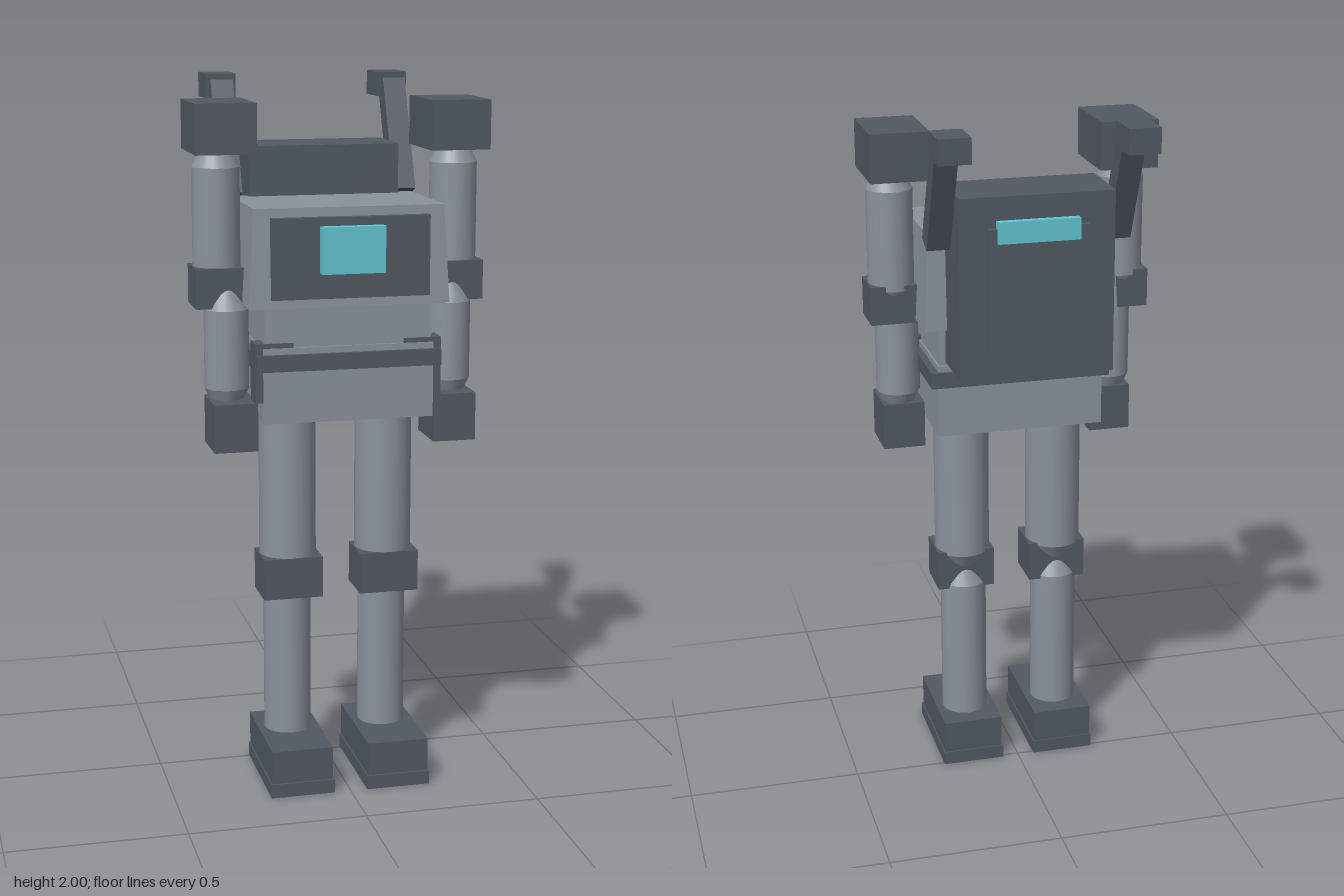
import * as THREE from 'three';

export function createModel() {
  const model = new THREE.Group();
  const mat = (name, color) => {
    const m = new THREE.MeshStandardMaterial({ color });
    m.name = name;
    return m;
  };
  const grey = mat('light grey', 0x8b929d);
  const dark = mat('dark slate', 0x525964);
  const cyan = mat('cyan glow', 0x60c6d0);

  const add = (name, geometry, material, parent = model) => {
    const mesh = new THREE.Mesh(geometry, material);
    mesh.name = name;
    parent.add(mesh);
    return mesh;
  };
  // Box given by its [min, max] on each axis
  const box = (name, material, x, y, z, parent) => {
    const g = new THREE.BoxGeometry(x[1] - x[0], y[1] - y[0], z[1] - z[0]);
    g.translate((x[0] + x[1]) / 2, (y[0] + y[1]) / 2, (z[0] + z[1]) / 2);
    return add(name, g, material, parent);
  };
  // Limb: a round bar whose two ends narrow into the joints
  const limb = (name, r, x, z, y0, y1, parent) => {
    const group = new THREE.Group();
    group.name = name;
    group.position.set(x, 0, z);
    const t = 0.055;
    const piece = (part, rTop, rBottom, a, b) =>
      add(part, new THREE.CylinderGeometry(rTop, rBottom, b - a, 24), grey, group).position.y = (a + b) / 2;
    piece('bar', r, r, y0 + t, y1 - t);
    piece('upperTaper', r * 0.6, r, y1 - t, y1);
    piece('lowerTaper', r, r * 0.6, y0, y0 + t);
    parent.add(group);
  };

  // Trunk
  box('pelvis', grey, [-0.24, 0.24], [1.08, 1.29], [-0.037, 0.286]);
  box('belt', dark, [-0.26, 0.26], [1.226, 1.272], [-0.045, 0.297]);
  box('abdomen', grey, [-0.235, 0.235], [1.28, 1.41], [-0.032, 0.28]);

  // Chest narrows a little towards the top
  const chest = new THREE.BoxGeometry(0.56, 0.27, 0.356);
  const p = chest.attributes.position;
  for (let i = 0; i < p.count; i++) {
    if (p.getY(i) > 0) {
      p.setX(i, p.getX(i) * 0.945);
      p.setZ(i, p.getZ(i) * 0.925);
    }
  }
  chest.computeVertexNormals();
  chest.translate(0, 1.535, 0.123);
  add('chest', chest, grey);
  box('chestPanel', dark, [-0.22, 0.22], [1.425, 1.645], [0.26, 0.312]);
  box('chestScreen', cyan, [-0.088, 0.088], [1.495, 1.622], [0.3, 0.341]);

  // Backpack
  box('backpack', dark, [-0.217, 0.217], [1.3, 1.81], [-0.215, -0.01]);
  box('backpackPanel', dark, [-0.14, 0.14], [1.38, 1.725], [-0.231, -0.2]);
  box('backpackLight', cyan, [-0.115, 0.115], [1.685, 1.745], [-0.237, -0.2]);

  for (const s of [1, -1]) {
    const side = new THREE.Group();
    side.name = s > 0 ? 'leftSide' : 'rightSide';
    model.add(side);
    const span = (a, b) => (s > 0 ? [a, b] : [-b, -a]);

    // Belt pouch
    box('pouch', dark, span(0.155, 0.262), [1.14, 1.303], [0.22, 0.2845], side);

    // Arm
    box('shoulder', dark, span(0.243, 0.41), [1.81, 1.946], [0.01, 0.24], side);
    limb('upperArm', 0.066, s * 0.337, 0.13, 1.43, 1.825, side);
    box('elbow', dark, span(0.267, 0.407), [1.39, 1.5], [0.07, 0.2], side);
    limb('forearm', 0.062, s * 0.318, 0.163, 1.11, 1.44, side);
    box('hand', dark, span(0.25, 0.372), [1, 1.135], [0.11, 0.262], side);

    // Leg
    limb('upperLeg', 0.081, s * 0.14, 0.125, 0.605, 1.2, side);
    box('knee', dark, span(0.055, 0.225), [0.55, 0.668], [0.07, 0.206], side);
    limb('lowerLeg', 0.068, s * 0.14, 0.115, 0.05, 0.615, side);
    box('foot', dark, span(0.052, 0.228), [0.04, 0.136], [-0.006, 0.318], side);
    box('sole', dark, span(0.048, 0.232), [0, 0.04], [-0.01, 0.324], side);

    // Antenna leaning back from the pack
    const rod = add('antennaRod', new THREE.BoxGeometry(0.065, 0.335, 0.06), dark, side);
    rod.position.set(s * 0.255, 1.818, -0.168);
    rod.rotation.x = -0.394;
    box('antennaTip', dark, span(0.21, 0.299), [1.93, 2], [-0.343, -0.23], side);
  }
  return model;
}
